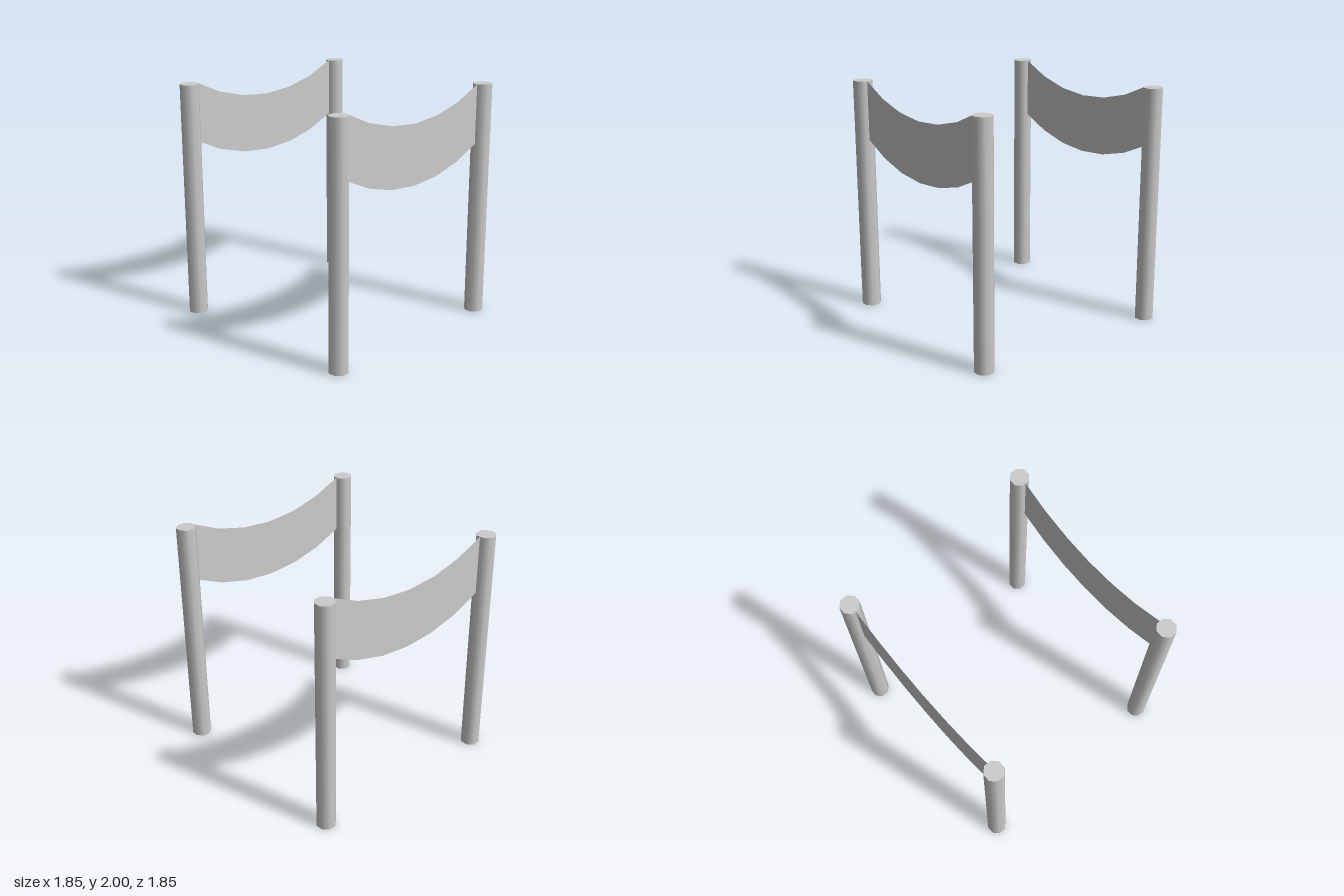
import * as THREE from 'three';

const SPACING = 0.85;  // post centre from the middle, in x and z
const APOTHEM = 0.075; // post centre to each flat side
const HEIGHT = 2;

// Flat sheet hanging between two posts, sagging along a circular arc
function bannerGeometry() {
  const half = SPACING - APOTHEM, sag = 0.2, drop = 0.5, segments = 6;
  const radius = (half * half + sag * sag) / (2 * sag);
  const maxAngle = Math.asin(half / radius);
  const geometry = new THREE.PlaneGeometry(1, 1, segments, 1);
  const pos = geometry.attributes.position;
  for (let i = 0; i < pos.count; i++) {
    const angle = pos.getX(i) * 2 * maxAngle;
    const top = HEIGHT - sag + radius * (1 - Math.cos(angle));
    pos.setXY(i, radius * Math.sin(angle), pos.getY(i) > 0 ? top : top - drop);
  }
  return geometry;
}

export function createModel() {
  const model = new THREE.Group();
  model.name = 'postsWithBanners';
  const postMaterial = new THREE.MeshStandardMaterial({ color: 0xcccccc });
  const clothMaterial = new THREE.MeshStandardMaterial({ color: 0xcccccc, side: THREE.DoubleSide });

  // Octagonal post with its flats facing the axes
  const postGeometry = new THREE.CylinderGeometry(
    APOTHEM / Math.cos(Math.PI / 8), APOTHEM / Math.cos(Math.PI / 8),
    HEIGHT, 8, 1, false, Math.PI / 8);
  const clothGeometry = bannerGeometry();

  for (const [zName, z] of [['front', SPACING], ['back', -SPACING]]) {
    for (const [xName, x] of [['Left', SPACING], ['Right', -SPACING]]) {
      const post = new THREE.Mesh(postGeometry, postMaterial);
      post.name = `${zName}${xName}Post`;
      post.position.set(x, HEIGHT / 2, z);
      model.add(post);
    }
    const banner = new THREE.Mesh(clothGeometry, clothMaterial);
    banner.name = `${zName}Banner`;
    banner.position.z = z;
    model.add(banner);
  }
  return model;
}
